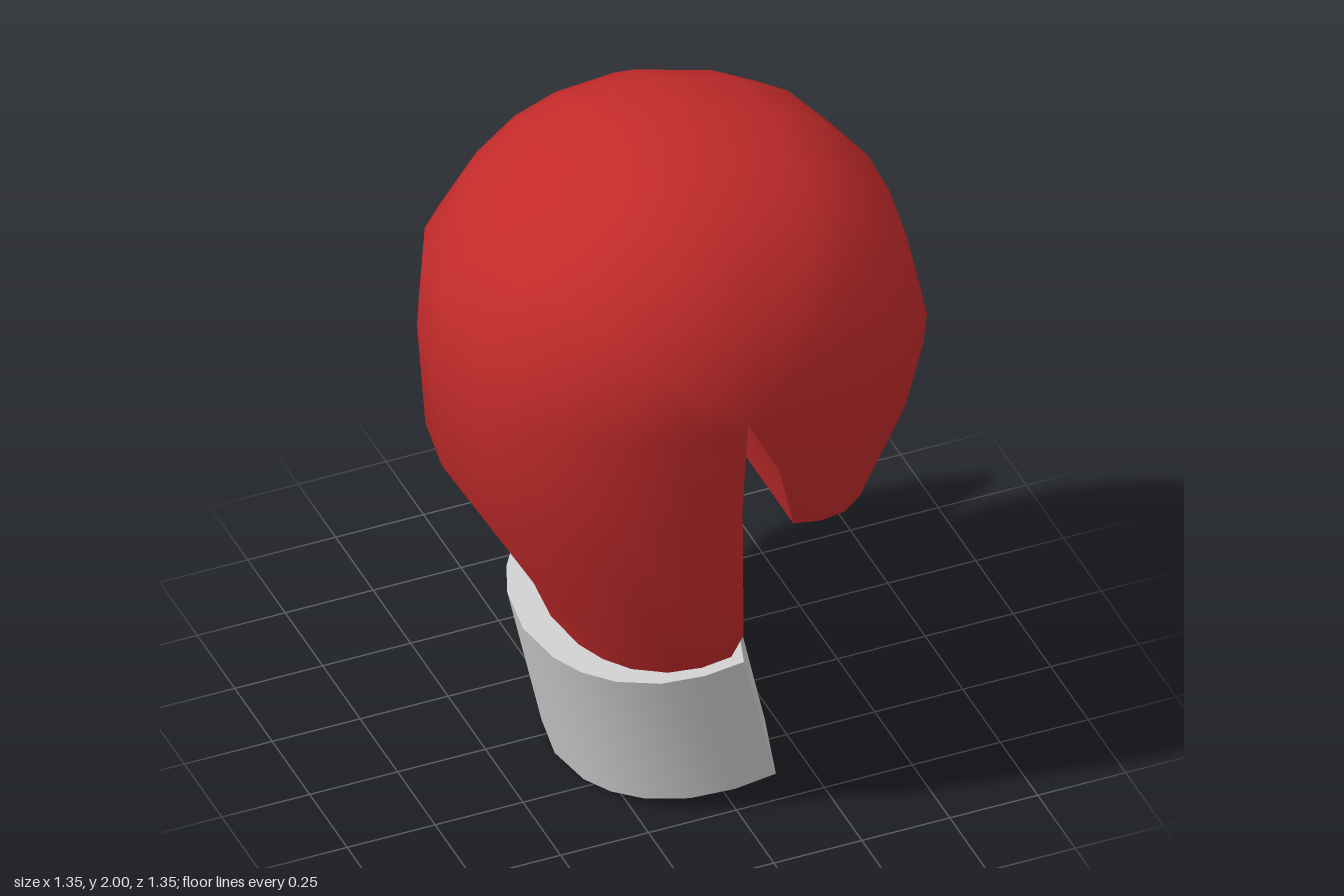
import * as THREE from 'three';
import { toCreasedNormals } from 'three/addons/utils/BufferGeometryUtils.js';

const MID_Z = 0.085;

// Skin a series of closed rings and cap both ends.
function loft(name, rings, material, crease) {
  const n = rings[0].length;
  const positions = rings.flat().flatMap((p) => p.toArray());
  const index = [];
  for (let i = 0; i < rings.length - 1; i++) {
    for (let j = 0; j < n; j++) {
      const a = i * n + j, b = i * n + (j + 1) % n;
      index.push(a, a + n, b + n, a, b + n, b);
    }
  }
  [0, rings.length - 1].forEach((r) => {
    const centre = new THREE.Vector3();
    rings[r].forEach((p) => centre.addScaledVector(p, 1 / n));
    const c = positions.length / 3;
    positions.push(...centre.toArray());
    for (let j = 0; j < n; j++) {
      const a = r * n + j, b = r * n + (j + 1) % n;
      if (r === 0) index.push(c, a, b);
      else index.push(c, b, a);
    }
  });
  const geometry = new THREE.BufferGeometry();
  geometry.setAttribute('position', new THREE.Float32BufferAttribute(positions, 3));
  geometry.setIndex(index);
  const mesh = new THREE.Mesh(toCreasedNormals(geometry, crease), material);
  mesh.name = name;
  return mesh;
}

// D-shaped section: rounded at the outer point, flat or slightly bulged at the inner one.
const STEPS = [0, 0.25, 0.5, 0.72, 0.86, 0.95];
function dSection([ox, oy, ix, iy, halfWidth, bulge = 0]) {
  const at = (t, w) => new THREE.Vector3(ix + (ox - ix) * t, iy + (oy - iy) * t, MID_Z + w * halfWidth);
  const width = (t) => Math.sqrt(1 - t ** 2.3);
  const k = -bulge / Math.hypot(ox - ix, oy - iy);
  return [
    ...STEPS.map((t) => at(t, width(t))),
    at(1, 0),
    ...[...STEPS].reverse().map((t) => at(t, -width(t))),
    at(k * 0.8, -0.5), at(k, 0), at(k * 0.8, 0.5),
  ];
}

// Oval horizontal section given by its bounds.
function oval([y, x0, x1, z0, z1]) {
  return Array.from({ length: 12 }, (_, i) => {
    const a = (i / 12) * Math.PI * 2;
    return new THREE.Vector3(
      (x0 + x1) / 2 + Math.cos(a) * (x1 - x0) / 2, y, (z0 + z1) / 2 + Math.sin(a) * (z1 - z0) / 2);
  });
}

export function createModel() {
  const group = new THREE.Group();
  group.name = 'boxingGlove';
  const red = new THREE.MeshStandardMaterial({ color: 0xc42b2b });
  const grey = new THREE.MeshStandardMaterial({ color: 0xcccccc });

  // Hand: from the wrist up the back, over the knuckles and down to the fingertips.
  const knuckles = [
    [-0.66, 1.6], [-0.51, 1.8], [-0.36, 1.92], [-0.2, 1.98], [0.03, 2.0],
    [0.29, 1.92], [0.43, 1.84], [0.55, 1.7], [0.61, 1.57],
  ].map(([x, y]) => [x, y, -0.04, 1.4, 0.59]);
  const hand = [
    [-0.34, 0.43, -0.02, 0.51, 0.42, 0.03],
    [-0.40, 0.58, -0.02, 0.65, 0.51, 0.04],
    [-0.66, 1.04, -0.04, 1.1, 0.55, 0.04],
    [-0.68, 1.36, -0.04, 1.38, 0.585],
    ...knuckles,
    [0.67, 1.29, -0.02, 1.36, 0.585],
    [0.61, 1.08, 0.07, 1.18, 0.54],
    [0.49, 0.82, 0.16, 0.9, 0.42],
  ];
  group.add(loft('hand', hand.map(dSection), red, 0.9));

  // Thumb: leans out from the wrist and flattens to a narrow tip.
  const thumb = [
    [0.63, -0.22, 0.0, -0.43, -0.28],
    [0.72, -0.28, 0.02, -0.49, -0.28],
    [0.98, -0.38, 0.03, -0.62, -0.34],
    [1.2, -0.37, 0.05, -0.675, -0.45],
    [1.28, -0.31, 0.05, -0.67, -0.5],
    [1.37, -0.22, 0.04, -0.645, -0.56],
    [1.4, -0.14, 0.03, -0.62, -0.59],
  ];
  group.add(loft('thumb', thumb.map(oval), red, 1));

  // Cuff: tilted, slightly flared sleeve.
  const cuff = [
    [-0.34, 0.005, 0.11, 0.095, 0.42, 0.075],
    [-0.43, 0.44, 0.0, 0.525, 0.465, 0.09],
  ];
  group.add(loft('cuff', cuff.map(dSection), grey, 0.8));

  return group;
}
